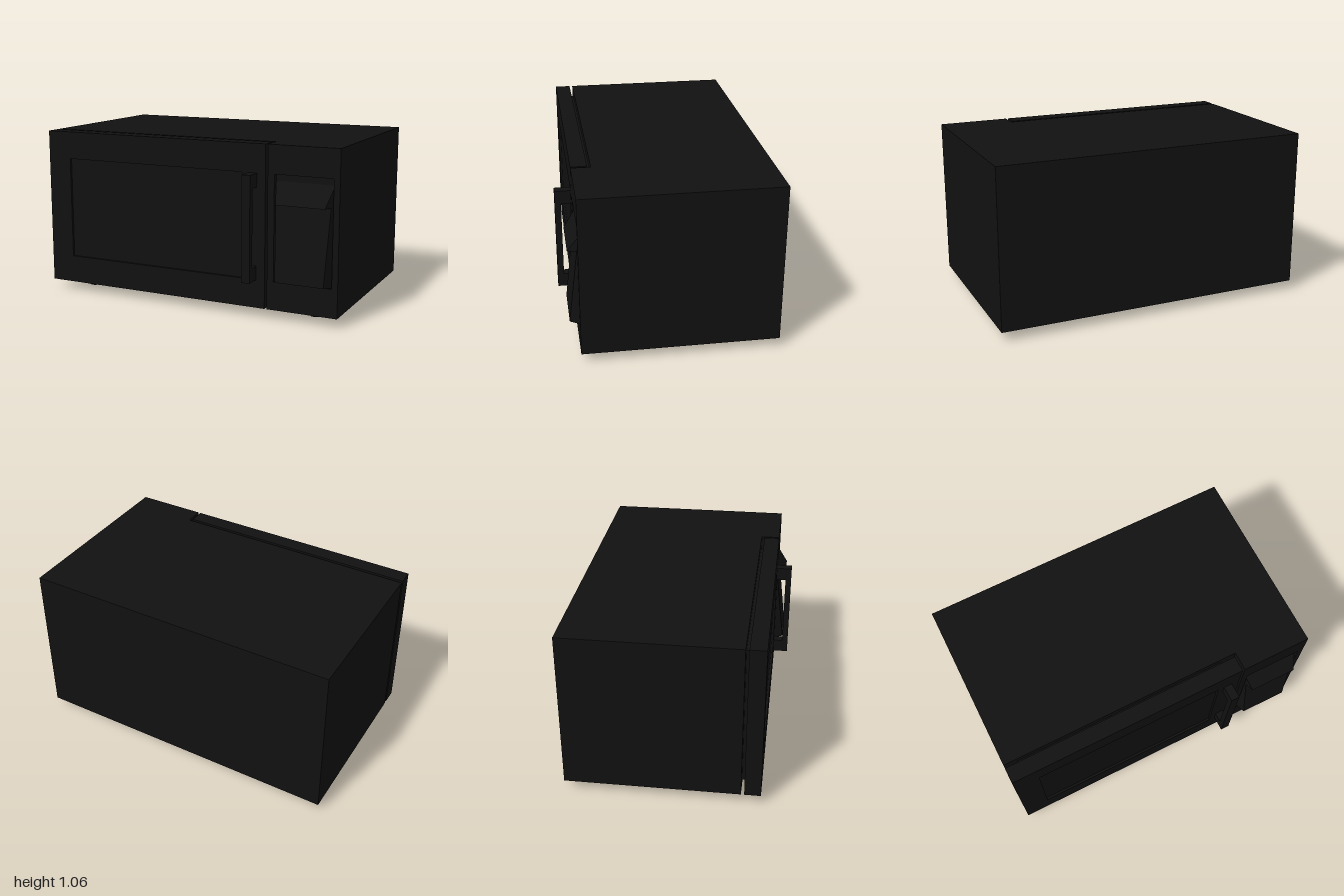
import * as THREE from 'three';

const dark = new THREE.MeshStandardMaterial({ color: 0x111111 });

function add(parent, name, geometry) {
  const mesh = new THREE.Mesh(geometry, dark);
  mesh.name = name;
  parent.add(mesh);
  return mesh;
}

// Box given by its extents along each axis
function box(parent, name, [x0, x1], [y0, y1], [z0, z1]) {
  const g = new THREE.BoxGeometry(x1 - x0, y1 - y0, z1 - z0);
  g.translate((x0 + x1) / 2, (y0 + y1) / 2, (z0 + z1) / 2);
  return add(parent, name, g);
}

function rectPoints([x0, x1], [y0, y1]) {
  return [[x0, y0], [x1, y0], [x1, y1], [x0, y1]].map(p => new THREE.Vector2(...p));
}

// Flat frame: outer rectangle with a rectangular opening
function frame(parent, name, outerX, outerY, holeX, holeY, [z0, z1]) {
  const shape = new THREE.Shape(rectPoints(outerX, outerY));
  shape.holes.push(new THREE.Path(rectPoints(holeX, holeY).reverse()));
  const g = new THREE.ExtrudeGeometry(shape, { depth: z1 - z0, bevelEnabled: false });
  g.translate(0, 0, z0);
  return add(parent, name, g);
}

export function createModel() {
  const model = new THREE.Group();
  model.name = 'microwaveOven';
  const bottom = 0.06, top = 1.06, front = 0.55;
  const height = [bottom, top];

  // Casing and the spacer that carries the door
  box(model, 'casing', [-1, 1], height, [-0.648, 0.43]);
  box(model, 'doorSpacer', [-0.92, 0.46], [0.11, 1.01], [0.43, 0.45]);

  // Door with a shallow inset window
  const door = new THREE.Group();
  door.name = 'door';
  model.add(door);
  const doorX = [-1, 0.54];
  box(door, 'doorPanel', doorX, height, [0.45, front - 0.015]);
  frame(door, 'doorFrame', doorX, height, [-0.84, 0.39], [0.235, 0.885], [front - 0.015, front]);

  // Handle: an upright bar on two posts
  const handle = new THREE.Group();
  handle.name = 'handle';
  door.add(handle);
  const handleX = [0.43, 0.485];
  box(handle, 'handleBar', handleX, [0.235, 0.885], [0.61, 0.648]);
  box(handle, 'handleUpperPost', handleX, [0.80, 0.885], [front, 0.61]);
  box(handle, 'handleLowerPost', handleX, [0.235, 0.32], [front, 0.61]);

  // Control section with a recess
  const controls = new THREE.Group();
  controls.name = 'controls';
  model.add(controls);
  const controlX = [0.555, 1];
  box(controls, 'controlBlock', controlX, height, [0.43, 0.52]);
  frame(controls, 'controlFrame', controlX, height, [0.597, 0.963], [0.235, 0.885], [0.52, front]);

  // Hood and sloping pad: a side profile (z, y) that narrows towards the front
  const profile = [[0.52, 0.842], [0.607, 0.715], [0.553, 0.715], [0.607, 0.25], [0.52, 0.235]];
  const padShape = new THREE.Shape(profile.map(p => new THREE.Vector2(...p)));
  const pad = new THREE.ExtrudeGeometry(padShape, { depth: 1, bevelEnabled: false });
  pad.rotateY(-Math.PI / 2).translate(0.5, 0, 0);
  const pos = pad.attributes.position;
  for (let i = 0; i < pos.count; i++) {
    const half = 0.183 - 0.36 * (pos.getZ(i) - 0.52);
    pos.setX(i, 0.78 + Math.sign(pos.getX(i)) * half);
  }
  pad.computeVertexNormals();
  add(controls, 'controlPad', pad);

  // Four round feet
  for (const x of [-0.8, 0.8]) {
    for (const z of [-0.447, 0.353]) {
      const foot = add(model, 'foot', new THREE.CylinderGeometry(0.038, 0.038, bottom, 24));
      foot.position.set(x, bottom / 2, z);
    }
  }
  return model;
}
